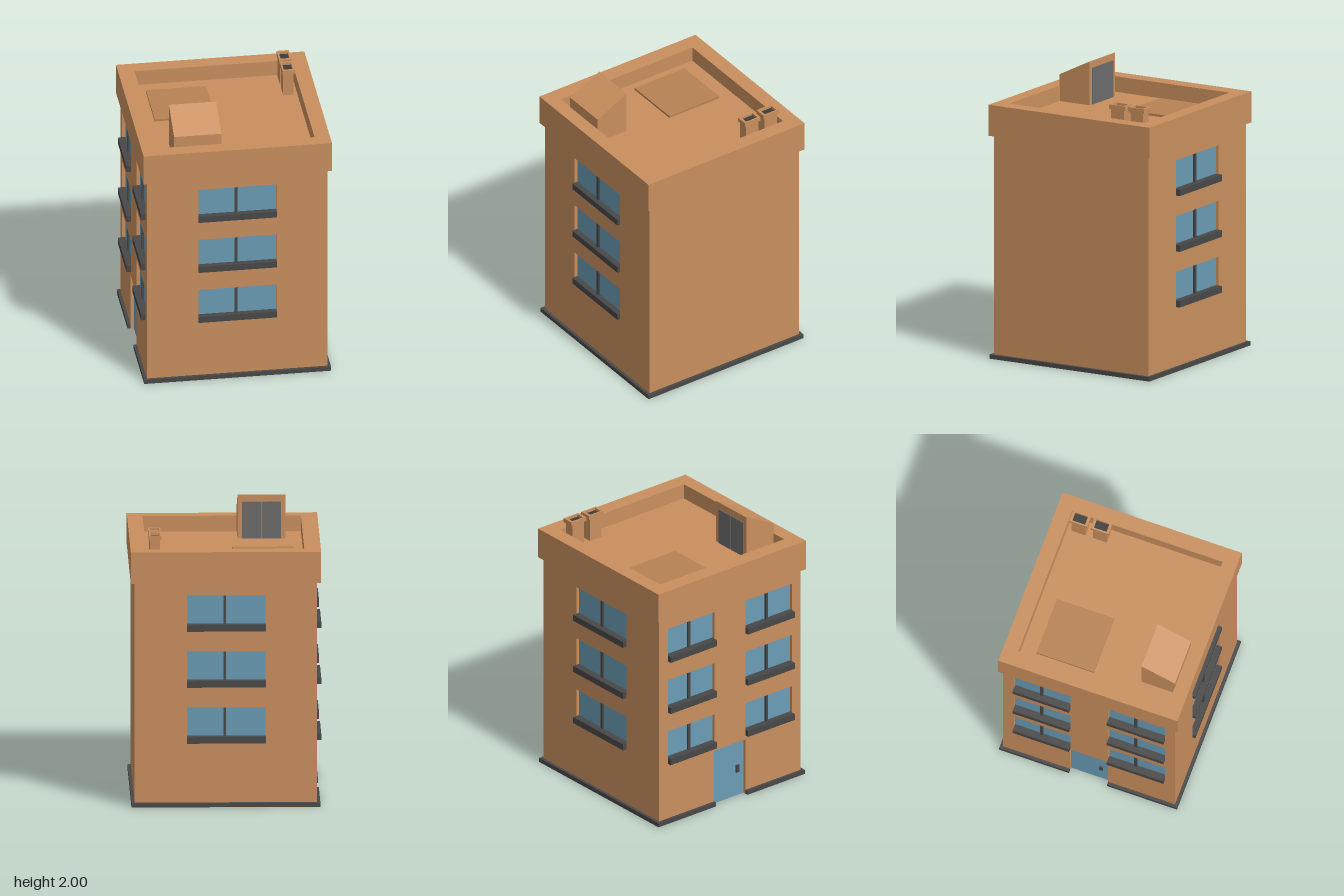
import * as THREE from 'three';

const paint = (color, extra = {}) => new THREE.MeshStandardMaterial({ color, roughness: 0.9, ...extra });

export function createModel() {
  const model = new THREE.Group();
  const brick = paint(0xc98f5e), dark = paint(0x484848), glass = paint(0x6a9cb5);
  const hatchMat = paint(0xb68254), metal = paint(0x6c6c6c), soot = paint(0x3c3c3c);

  const add = (parent, name, geometry, material) => {
    const mesh = new THREE.Mesh(geometry, material);
    mesh.name = name;
    parent.add(mesh);
    return mesh;
  };
  // Box given by its extents on each axis
  const box = (parent, name, [x0, x1], [y0, y1], [z0, z1], material) => {
    const mesh = add(parent, name, new THREE.BoxGeometry(x1 - x0, y1 - y0, z1 - z0), material);
    mesh.position.set((x0 + x1) / 2, (y0 + y1) / 2, (z0 + z1) / 2);
    return mesh;
  };
  const rect = (Type, x0, x1, y0, y1) => new Type([
    new THREE.Vector2(x0, y0), new THREE.Vector2(x1, y0),
    new THREE.Vector2(x1, y1), new THREE.Vector2(x0, y1)]);
  // Upright rectangular ring lying flat: outer and inner extents in x and z
  const ring = (parent, name, outer, inner, y0, y1, material) => {
    const flat = ([x0, x1, z0, z1], Type) => rect(Type, x0, x1, -z1, -z0);
    const shape = flat(outer, THREE.Shape);
    shape.holes.push(flat(inner, THREE.Path));
    const geometry = new THREE.ExtrudeGeometry(shape, { depth: y1 - y0, bevelEnabled: false });
    geometry.rotateX(-Math.PI / 2);
    add(parent, name, geometry, material).position.y = y0;
  };

  const W = 0.63, IN = 0.60, EAVE = 1.60, ROOF = 1.69, DOOR = 0.14, DOOR_TOP = 0.42;
  const rows = [0.45, 0.845, 1.24];

  // Solid core and roof deck
  box(model, 'core', [-IN, W], [0, EAVE], [-IN, IN], brick);
  box(model, 'roofDeck', [-0.6, 0.6], [EAVE, ROOF], [-0.6, 0.6], brick);

  // A facade: wall skin with openings, panes, mullions and sills
  const facade = (name, angle, half, columns, sillOut, hasDoor) => {
    const group = new THREE.Group();
    group.name = name;
    group.rotation.y = angle;
    model.add(group);
    const points = [[-half, 0]];
    if (hasDoor) points.push([-DOOR, 0], [-DOOR, DOOR_TOP], [DOOR, DOOR_TOP], [DOOR, 0]);
    points.push([half, 0], [half, EAVE], [-half, EAVE]);
    const shape = new THREE.Shape(points.map(p => new THREE.Vector2(...p)));
    for (const y of rows) for (const [x0, x1] of columns) {
      const mid = (x0 + x1) / 2 - 0.01;
      shape.holes.push(rect(THREE.Path, x0, x1, y, y + 0.25));
      box(group, 'windowPane', [x0, x1], [y, y + 0.25], [IN - 0.01, IN + 0.008], glass);
      box(group, 'windowMullion', [mid - 0.01, mid + 0.01], [y, y + 0.25], [IN, IN + 0.022], dark);
      box(group, 'windowSill', [x0, x1], [y, y + 0.046], [IN, sillOut], dark);
    }
    const skin = new THREE.ExtrudeGeometry(shape, { depth: W - IN, bevelEnabled: false });
    add(group, 'wall', skin, brick).position.z = IN;
    return group;
  };
  const wide = [[-0.27, 0.275]];
  facade('frontFacade', 0, W, wide, 0.65, false);
  facade('backFacade', Math.PI, W, wide, 0.66, false);
  const side = facade('entranceFacade', -Math.PI / 2, IN, [[-0.55, -0.137], [0.14, 0.555]], 0.66, true);

  // Entrance door with handle
  box(side, 'door', [-DOOR, DOOR], [0, DOOR_TOP], [IN - 0.01, IN + 0.008], glass);
  box(side, 'doorHandle', [0.07, 0.095], [0.18, 0.235], [IN, IN + 0.02], dark);

  // Plinth strip around the foot, interrupted at the door
  const P = 0.652;
  box(model, 'plinthRight', [W, P], [0, 0.03], [-P, P], dark);
  for (const s of [-1, 1]) {
    const a = s * W, b = s * P, d = s * DOOR;
    box(model, 'plinthFrontBack', [-P, W], [0, 0.03], [Math.min(a, b), Math.max(a, b)], dark);
    box(model, 'plinthEntrance', [-P, -W], [0, 0.03], [Math.min(d, a), Math.max(d, a)], dark);
  }

  // Parapet
  ring(model, 'parapet', [-0.657, 0.657, -0.657, 0.657], [-0.543, 0.55, -0.55, 0.555], 1.58, 1.8, brick);

  // Flat roof hatch
  box(model, 'roofHatch', [-0.48, -0.06], [ROOF, ROOF + 0.015], [-0.44, -0.02], hatchMat);

  // Stair hut with a sloping roof and a double door facing the back
  const hut = new THREE.Shape([[-0.557, ROOF], [-0.312, ROOF], [-0.312, 2], [-0.557, 1.88]]
    .map(p => new THREE.Vector2(...p)));
  const hutGeometry = new THREE.ExtrudeGeometry(hut, { depth: 0.33, bevelEnabled: false });
  hutGeometry.rotateY(Math.PI / 2);
  add(model, 'stairHut', hutGeometry, brick).position.x = -0.43;
  for (const x of [-0.4, -0.263]) {
    box(model, 'hutDoor', [x, x + 0.133], [ROOF, 1.95], [0.306, 0.32], metal);
  }

  // Pair of chimneys: hollow stack, wider cap and dark flue
  for (const z of [-0.467, -0.31]) {
    const chimney = new THREE.Group();
    chimney.name = 'chimney';
    chimney.position.set(0.487, 0, z);
    model.add(chimney);
    const hole = [-0.031, 0.031, -0.047, 0.047];
    ring(chimney, 'chimneyStack', [-0.036, 0.036, -0.052, 0.052], hole, ROOF, 1.86, brick);
    ring(chimney, 'chimneyCap', [-0.043, 0.043, -0.066, 0.066], hole, 1.86, 1.89, brick);
    box(chimney, 'chimneyFlue', [-0.031, 0.031], [ROOF, 1.872], [-0.047, 0.047], soot);
  }
  return model;
}
